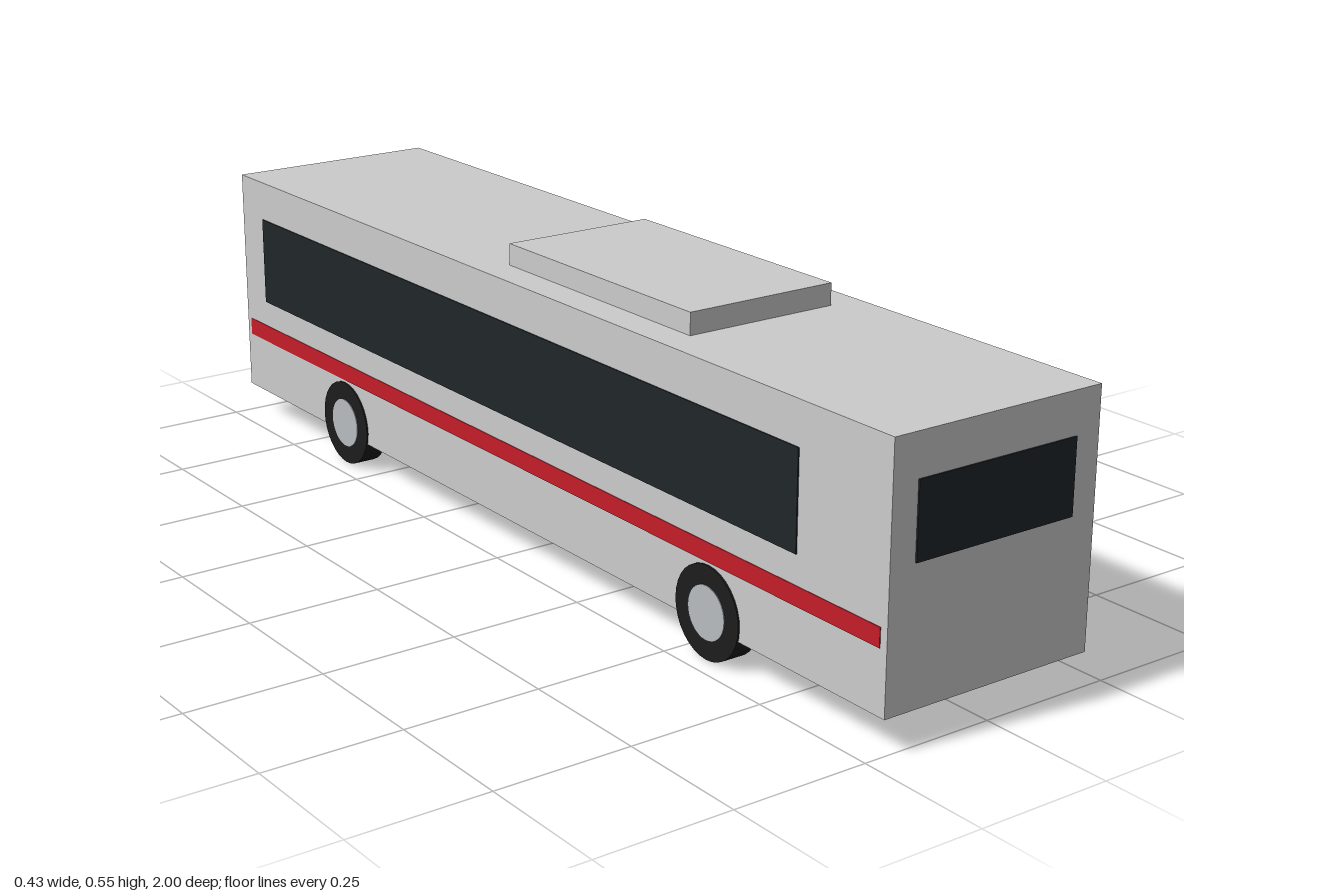
import * as THREE from 'three';

const mat = (color) => new THREE.MeshStandardMaterial({ color });

export function createModel() {
  const bus = new THREE.Group();
  bus.name = 'bus';
  const grey = mat(0xcccccc);
  const glass = mat(0x20262a);
  const black = mat(0x1c1c1c);
  const trim = mat(0x2a2c2e);
  const red = mat(0xc41e2a);
  const rimGrey = mat(0xb8bcc0);
  const lamp = mat(0xe8e8e0);

  // Box given by its minimum and maximum corners
  const box = (name, material, [x0, y0, z0], [x1, y1, z1], parent = bus) => {
    const mesh = new THREE.Mesh(new THREE.BoxGeometry(x1 - x0, y1 - y0, z1 - z0), material);
    mesh.position.set((x0 + x1) / 2, (y0 + y1) / 2, (z0 + z1) / 2);
    mesh.name = name;
    parent.add(mesh);
    return mesh;
  };

  // Main shell and roof unit
  box('body', grey, [-0.212, 0.059, -0.997], [0.212, 0.508, 0.997]);
  box('roofUnit', grey, [-0.15, 0.5, -0.098], [0.15, 0.548, 0.432]);

  // Window at the +z end
  box('endWindow', glass, [-0.162, 0.301, 0.99], [0.162, 0.433, 1]);

  // Driver's end at -z: windscreen, destination sign, bumper
  box('windscreen', glass, [-0.195, 0.207, -0.9985], [0.195, 0.459, -0.99]);
  box('destinationSign', trim, [-0.134, 0.457, -1], [0.134, 0.497, -0.99]);
  box('bumper', trim, [-0.202, 0.103, -0.999], [0.202, 0.157, -0.99]);

  // Wheel: tyre with a flush rim disc, its outer face towards +x
  const makeWheel = () => {
    const wheel = new THREE.Group();
    wheel.name = 'wheel';
    const tyre = new THREE.Mesh(new THREE.CylinderGeometry(0.083, 0.083, 0.044, 32), black);
    tyre.name = 'tyre';
    const rim = new THREE.Mesh(new THREE.CylinderGeometry(0.048, 0.048, 0.02, 32), rimGrey);
    rim.name = 'rim';
    rim.position.x = 0.0135;
    for (const part of [tyre, rim]) {
      part.rotation.z = -Math.PI / 2;
      wheel.add(part);
    }
    return wheel;
  };

  // Everything that repeats on both sides
  for (const s of [-1, 1]) {
    const name = s > 0 ? 'left' : 'right';
    const sideBox = (part, material, y0, y1, z0, z1, out) =>
      box(name + part, material, [s > 0 ? 0.2 : -out, y0, z0], [s > 0 ? out : -0.2, y1, z1]);
    sideBox('SideWindow', glass, 0.257, 0.431, -0.912, 0.786, 0.2145);
    sideBox('Stripe', red, 0.171, 0.205, -0.982, 0.982, 0.2135);

    const x = s * 0.159;
    box(name + 'Headlight', lamp, [x - 0.025, 0.117, -1], [x + 0.025, 0.143, -0.99]);

    for (const z of [0.567, -0.597]) {
      const wheel = makeWheel();
      wheel.position.set(s * 0.193, 0.083, z);
      wheel.rotation.y = s > 0 ? 0 : Math.PI;
      bus.add(wheel);
    }
  }
  return bus;
}
